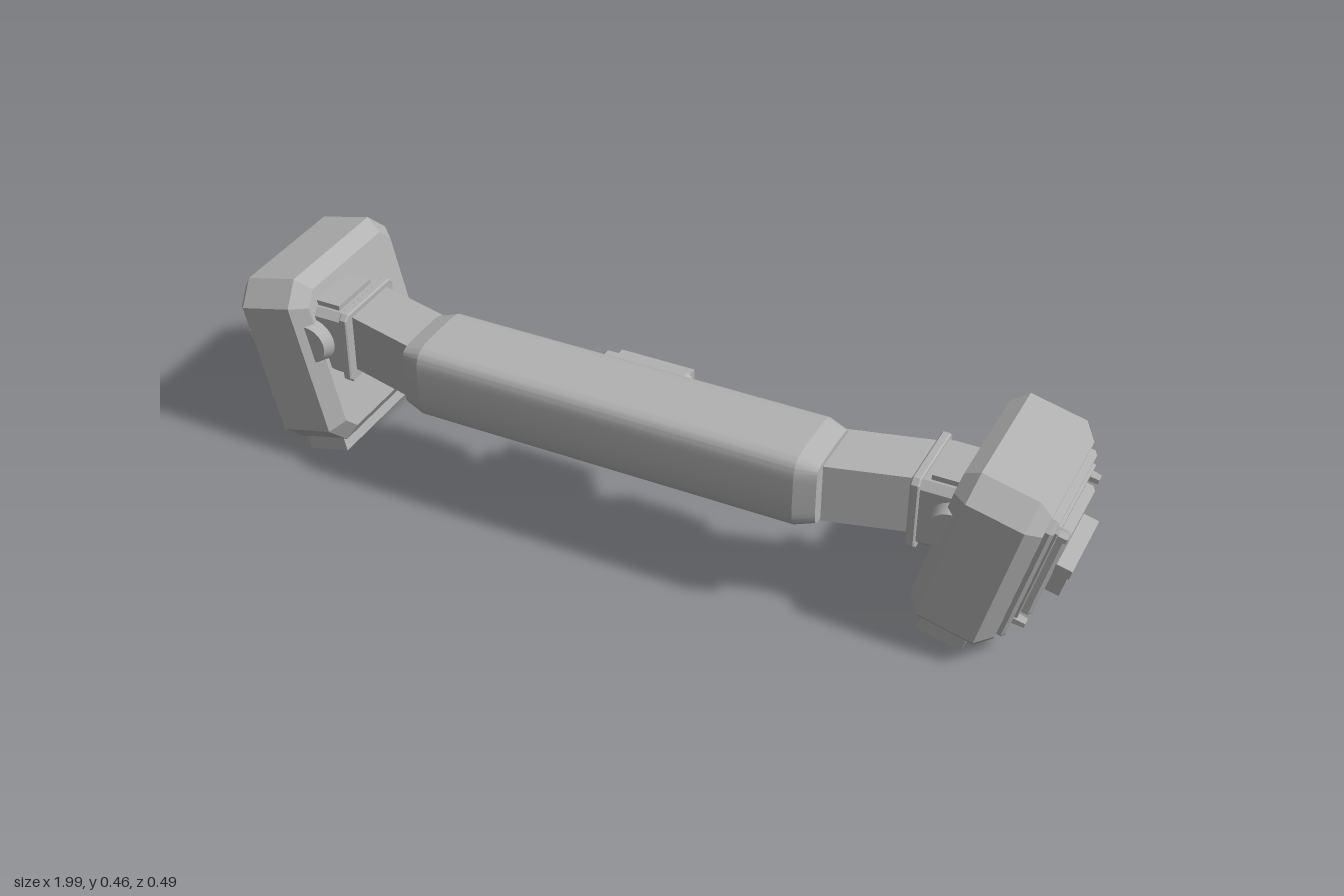
import * as THREE from 'three';
import { toCreasedNormals } from 'three/addons/utils/BufferGeometryUtils.js';

const QUARTER = Math.PI / 2;
const TILT = THREE.MathUtils.degToRad(14);
const grey = new THREE.MeshStandardMaterial({ color: 0xb2b2b2 });
grey.name = 'plain grey';

function add(parent, name, geo, x, y, z, turn = 0) {
  const mesh = new THREE.Mesh(geo, grey);
  mesh.name = name;
  mesh.position.set(x, y, z);
  mesh.rotation.y = turn;
  parent.add(mesh);
}

function addGroup(parent, name, x, y, z, turn = 0) {
  const group = new THREE.Group();
  group.name = name;
  group.position.set(x, y, z);
  group.rotation.y = turn;
  parent.add(group);
  return group;
}

const box = (w, h, d) => new THREE.BoxGeometry(w, h, d);

// Centred extrusion along z, bevelled at both ends without growing in size
function extrude(shape, depth, bevel, thickness = bevel) {
  return new THREE.ExtrudeGeometry(shape, {
    depth: depth - 2 * thickness, bevelEnabled: bevel > 0, bevelSegments: 1,
    bevelSize: bevel, bevelThickness: thickness, bevelOffset: -bevel,
  }).translate(0, 0, thickness - depth / 2);
}

// Block with cut corners; 'narrow' pulls in the top corners
function block(w, h, d, cut, bevel, narrow = 0) {
  const x = w / 2, y = h / 2, top = x - narrow;
  const shape = new THREE.Shape([
    [x - cut, -y], [x, cut - y], [top, y - cut], [top - cut, y],
    [cut - top, y], [-top, y - cut], [-x, cut - y], [cut - x, -y],
  ].map(([px, py]) => new THREE.Vector2(px, py)));
  return extrude(shape, d, bevel);
}

function rectangle(path, w, h) {
  path.moveTo(-w / 2, -h / 2).lineTo(w / 2, -h / 2);
  path.lineTo(w / 2, h / 2).lineTo(-w / 2, h / 2).closePath();
  return path;
}

// Overhanging ledge above a hollow frame, growing from z = 0 to z = d
function fillLedge(group, w, h, d, slats = 0) {
  const lip = 0.022, rim = 0.011;
  const innerH = h - lip, innerW = w - rim;
  add(group, 'ledge', box(w, lip, d), 0, (h - lip) / 2, d / 2);
  const frame = rectangle(new THREE.Shape(), innerW, innerH);
  frame.holes.push(rectangle(new THREE.Path(), innerW - 2 * rim, innerH - 2 * rim));
  add(group, 'frame', extrude(frame, d * 0.9, 0), 0, -lip / 2, d * 0.45);
  add(group, 'inset', box(innerW - rim, innerH - rim, d / 2), 0, -lip / 2, d / 4);
  for (let i = 1; i <= slats; i++) {
    const y = -h / 2 + (innerH * i) / (slats + 1);
    add(group, 'slat', box(innerW - rim, rim, d * 0.8), 0, y, d * 0.4);
  }
}

// Tilted end pod; local z points outward
function buildPod(model, side, word) {
  const pod = addGroup(model, word + 'Pod', side * 0.816, 0.245, 0.0075);
  pod.rotation.set(0, side * QUARTER, -side * TILT, 'ZYX');
  add(pod, 'podBody', block(0.405, 0.42, 0.192, 0.05, 0.032), 0, 0, 0);
  add(pod, 'podFoot', box(0.313, 0.045, 0.105), 0, -0.217, -0.005);
  add(pod, 'outerPlate', block(0.303, 0.341, 0.036, 0.022, 0.007), 0, -0.003, 0.095);
  add(pod, 'innerPlate', block(0.255, 0.286, 0.02, 0.012, 0.002), 0, 0.004, 0.11);
  add(pod, 'raisedPanel', block(0.21, 0.24, 0.03, 0.012, 0.008, 0.01), 0, 0, 0.127);
  fillLedge(addGroup(pod, 'outerLedge', 0, -0.003, 0.14), 0.184, 0.078, 0.037);

  // Hexagonal corner bolts
  const bolt = new THREE.CylinderGeometry(0.011, 0.014, 0.03, 6).rotateX(QUARTER);
  const boltGeo = toCreasedNormals(bolt, 0.4);
  for (const sx of [-1, 1]) {
    for (const sy of [-1, 1]) {
      add(pod, 'bolt', boltGeo, sx * (0.114 - 0.005 * sy), sy * 0.12, 0.125);
    }
  }

  // Back plate and vented block
  const back = addGroup(pod, 'backFitting', side * 0.2025, 0, 0, side * QUARTER);
  add(back, 'backPlate', block(0.1, 0.3, 0.04, 0.01, 0.005), 0, 0.004, 0);
  add(back, 'backPlateRaised', block(0.08, 0.235, 0.02, 0.008, 0.004), 0, 0.022, 0.02);
  fillLedge(addGroup(back, 'vent', 0, -0.127, 0), 0.104, 0.105, 0.05, 2);
}

// Slanted strap and clamp joining the handle to a pod
function buildLink(model, side, word) {
  const link = addGroup(model, word + 'Link', 0, 0, 0);
  const turn = side * QUARTER;
  add(link, 'strap', box(0.25, 0.138, 0.139), side * 0.57, 0.327, 0.101, side * 0.25);
  add(link, 'clampFlange', block(0.197, 0.178, 0.02, 0.012, 0.003), side * 0.675, 0.321, 0.076, turn);
  add(link, 'clampBody', block(0.182, 0.162, 0.12, 0.016, 0.004), side * 0.74, 0.321, 0.076, turn);
  add(link, 'clampTopPad', box(0.08, 0.02, 0.13), side * 0.74, 0.404, 0.08);
  const disc = new THREE.CylinderGeometry(0.046, 0.056, 0.03, 24).rotateX(QUARTER);
  add(link, 'clampDisc', toCreasedNormals(disc, 0.5), side * 0.762, 0.322, 0.18);
}

// Small ribbed fitting on the back of the handle
function buildFitting(model, side, word) {
  const fitting = addGroup(model, word + 'Fitting', side * 0.3125, 0.332, 0.04, Math.PI);
  add(fitting, 'fittingPlate', box(0.205, 0.04, 0.036), 0, 0, 0);
  add(fitting, 'fittingLedge', box(0.135, 0.022, 0.03), 0, 0.025, 0.013);
  for (let i = -4; i <= 4; i++) {
    add(fitting, 'fittingRib', box(0.011, 0.038, 0.03), i * 0.0215, -0.011, 0.009);
  }
}

export function createModel() {
  const model = new THREE.Group();

  // Handle: softly squared section with tapered ends
  const section = new THREE.Shape();
  const soft = (v, half) => Math.sign(v) * half * Math.abs(v) ** 0.4;
  const points = Array.from({ length: 64 }, (_, i) => {
    const a = (i / 32) * Math.PI;
    return new THREE.Vector2(soft(Math.cos(a), 0.102), soft(Math.sin(a), 0.09));
  });
  section.setFromPoints(points);
  const handle = toCreasedNormals(extrude(section, 0.974, 0.016, 0.045), 0.3);
  add(model, 'handle', handle, 0, 0.335, 0.14, QUARTER);

  // Central unit on the back of the handle
  const centre = addGroup(model, 'centreUnit', 0, 0.335, 0.025, Math.PI);
  add(centre, 'centreBase', block(0.22, 0.12, 0.05, 0.014, 0.01), 0, 0, 0);
  fillLedge(addGroup(centre, 'centreLedge', 0, -0.004, 0.02), 0.176, 0.074, 0.047);

  for (const [side, word] of [[1, 'left'], [-1, 'right']]) {
    buildPod(model, side, word);
    buildLink(model, side, word);
    buildFitting(model, side, word);
  }
  return model;
}
